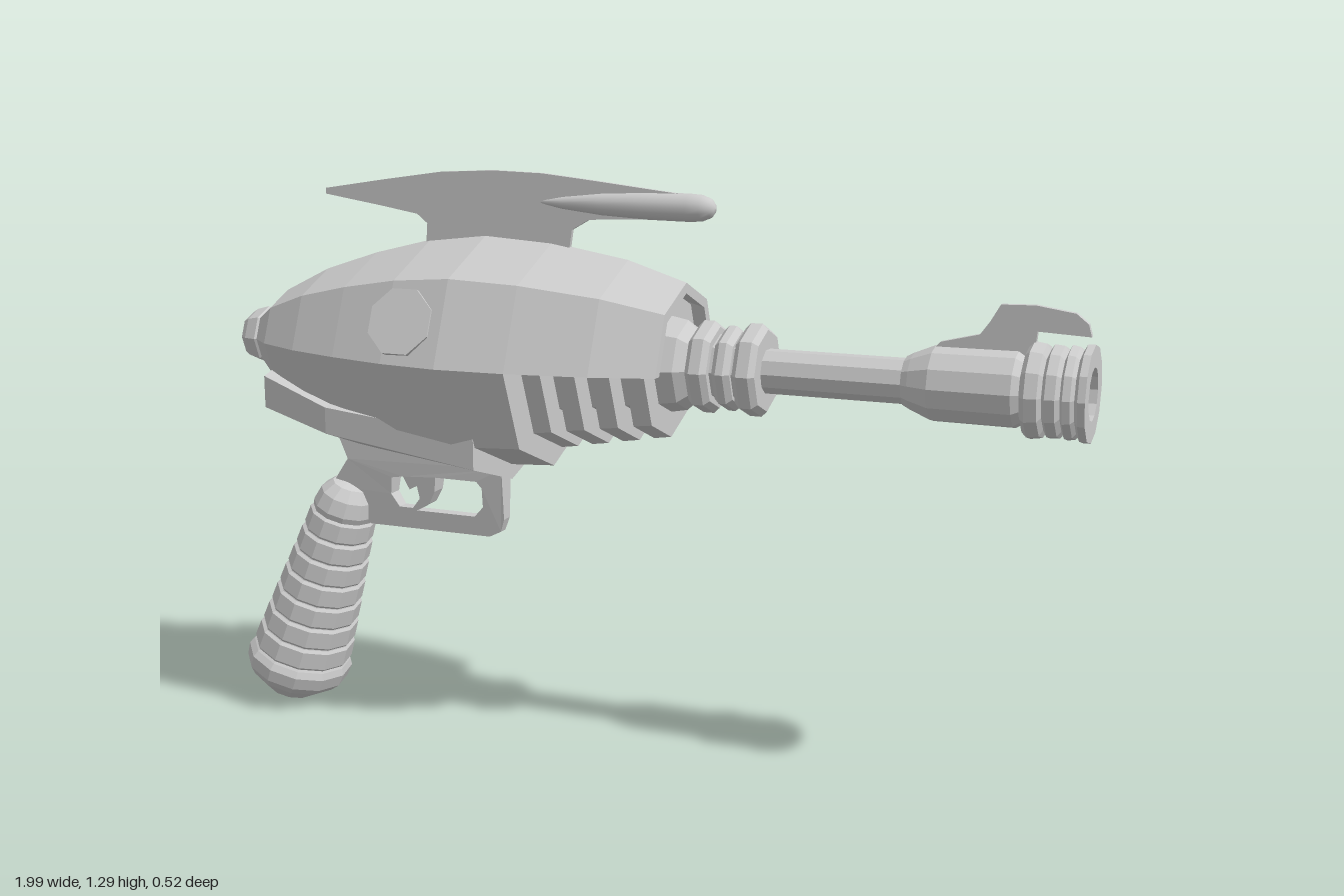
import * as THREE from 'three';

const AXIS_Y = 0.885; // height of the barrel axis
const flat = new THREE.MeshStandardMaterial({ color: 0xcccccc, flatShading: true });
const flatDouble = new THREE.MeshStandardMaterial({ color: 0xcccccc, flatShading: true, side: THREE.DoubleSide });
const smooth = new THREE.MeshStandardMaterial({ color: 0xcccccc });

function part(name, geometry, material = flat) {
  const mesh = new THREE.Mesh(geometry, material);
  mesh.name = name;
  return mesh;
}

// Turn a profile of [x, radius] pairs around a line along x
function turnX(profile, sides, y = AXIS_Y, start = 0, sweep = Math.PI * 2) {
  const pts = profile.map(([x, r]) => new THREE.Vector2(r, x));
  return new THREE.LatheGeometry(pts, sides, start, sweep).rotateZ(-Math.PI / 2).translate(0, y, 0);
}

const shapeOf = (pts) => new THREE.Shape(pts.map(([x, y]) => new THREE.Vector2(x, y)));

// Flat plate in the xy plane, centred on z = 0
function plate(shape, depth) {
  return new THREE.ExtrudeGeometry(shape, { depth, bevelEnabled: false, curveSegments: 6 })
    .translate(0, 0, -depth / 2);
}

// Loft through closed cross-sections [[x, y, z], ...] with both ends capped
function loft(sections) {
  const n = sections[0].length, index = [];
  for (let s = 0; s < sections.length - 1; s++) {
    for (let i = 0; i < n; i++) {
      const a = s * n + i, b = s * n + (i + 1) % n;
      index.push(a, b, a + n, b, b + n, a + n);
    }
  }
  const last = (sections.length - 1) * n;
  for (let i = 1; i < n - 1; i++) {
    index.push(0, i + 1, i, last, last + i, last + i + 1);
  }
  const g = new THREE.BufferGeometry();
  g.setAttribute('position', new THREE.Float32BufferAttribute(sections.flat(2), 3));
  g.setIndex(index);
  g.computeVertexNormals();
  return g;
}

export function createModel() {
  const model = new THREE.Group();
  model.name = 'rayGun';

  // Octagonal body, closed where the lower cutaway begins
  model.add(part('body', turnX([
    [-0.91, 0], [-0.91, 0.065], [-0.86, 0.11], [-0.75, 0.165], [-0.62, 0.208], [-0.48, 0.243],
    [-0.34, 0.26], [-0.18, 0.25], [-0.18, 0],
  ], 8)));
  model.add(part('tailCap', turnX([
    [-0.96, 0], [-0.96, 0.05], [-0.945, 0.06], [-0.915, 0.068], [-0.905, 0.06], [-0.905, 0],
  ], 8)));

  // Open upper hood over the cooling fins, with its lower ledges
  const hood = [[-0.18, 0.25], [0, 0.22], [0.135, 0.178], [0.135, 0.155], [0, 0.197], [-0.18, 0.227]];
  model.add(part('hood', turnX(hood, 4, AXIS_Y, Math.PI, Math.PI), flatDouble));
  for (const side of [1, -1]) {
    const ledge = new THREE.ShapeGeometry(shapeOf(hood)).rotateX(side * Math.PI / 2).translate(0, AXIS_Y, 0);
    model.add(part('hoodLedge', ledge, flatDouble));
  }

  // Tapered core carrying four cooling fins
  const core = [[-0.19, 0.147]];
  for (let i = 0; i < 4; i++) {
    const x = -0.16 + i * 0.074, inner = 0.143 - i * 0.011, outer = 0.206 - i * 0.013;
    core.push([x, inner], [x, outer], [x + 0.04, outer - 0.006], [x + 0.04, inner - 0.005]);
  }
  core.push([0.14, 0.098], [0.165, 0.075], [0.17, 0]);
  model.add(part('coolingFins', turnX(core, 8)));

  // Neck of three rings
  const neck = [[0.15, 0]];
  for (const [a, b, r] of [[0.165, 0.213, 0.1], [0.222, 0.262, 0.092], [0.27, 0.32, 0.1]]) {
    neck.push([a, 0.072], [a, r - 0.012], [a + 0.012, r], [b - 0.012, r], [b, r - 0.012], [b, 0.072]);
  }
  neck.push([0.32, 0]);
  model.add(part('neckRings', turnX(neck, 8)));

  // Barrel and grooved, hollow muzzle
  model.add(part('barrel', turnX([[0.3, 0.048], [0.64, 0.048]], 10)));
  model.add(part('muzzle', turnX([
    [0.62, 0], [0.62, 0.052], [0.635, 0.06], [0.68, 0.079], [0.85, 0.08], [0.865, 0.07],
    [0.87, 0.09], [0.88, 0.1], [0.905, 0.096], [0.912, 0.082], [0.92, 0.096], [0.94, 0.094],
    [0.948, 0.082], [0.955, 0.097], [0.97, 0.094], [0.977, 0.085], [0.985, 0.1], [1, 0.1],
    [1, 0.055], [0.87, 0.055], [0.87, 0],
  ], 12)));
  model.add(part('frontSight', plate(shapeOf([
    [0.67, 0.95], [0.69, 0.972], [0.77, 0.992], [0.79, 1.02], [0.81, 1.055], [0.88, 1.057],
    [0.96, 1.045], [0.985, 1.025], [0.992, 1.0], [0.885, 1.005], [0.88, 0.95],
  ]), 0.014)));

  // Top fin with a slender pod at its front
  model.add(part('topFin', plate(shapeOf([
    [-0.745, 1.222], [-0.6, 1.2], [-0.51, 1.185], [-0.485, 1.165], [-0.49, 1.1], [-0.14, 1.1],
    [-0.13, 1.165], [-0.09, 1.188], [0.17, 1.2], [0.19, 1.225], [0.17, 1.245], [-0.08, 1.272],
    [-0.2, 1.284], [-0.32, 1.287], [-0.45, 1.28], [-0.6, 1.258], [-0.745, 1.235],
  ]), 0.01)));
  model.add(part('finPod', turnX([
    [-0.235, 0], [-0.15, 0.014], [-0.06, 0.024], [0.04, 0.029], [0.14, 0.03],
    [0.17, 0.028], [0.19, 0.02], [0.198, 0.01], [0.2, 0],
  ], 16, 1.222), smooth));

  // Side discs set into the upper facets
  for (const side of [1, -1]) {
    const disc = new THREE.CylinderGeometry(0.078, 0.078, 0.05, 8);
    disc.rotateY(Math.PI / 8).translate(0, 0.216, 0).rotateX(side * Math.PI * 3 / 8);
    model.add(part('sideDisc', disc.translate(-0.44, AXIS_Y, 0)));
  }

  // Keel under the body: x, half width, top, side bottom, centre bottom
  const keel = [
    [-0.86, 0.115, 0.81, 0.737, 0.705], [-0.67, 0.165, 0.76, 0.7, 0.64], [-0.285, 0.19, 0.728, 0.655, 0.594],
  ].map(([x, w, top, low, bottom]) => [
    [x, top, w], [x, low, w], [x, bottom, 0], [x, low, -w], [x, top, -w], [x, top + 0.03, 0],
  ]);
  model.add(part('keel', loft(keel), flatDouble));

  // Trigger guard plate; the gap between its holes forms the trigger
  const guard = shapeOf([
    [-0.73, 0.68], [-0.7, 0.61], [-0.75, 0.54], [-0.7, 0.47], [-0.65, 0.455], [-0.34, 0.455],
    [-0.31, 0.47], [-0.3, 0.5], [-0.3, 0.62], [-0.4, 0.66],
  ]);
  for (const hole of [
    [[-0.585, 0.575], [-0.59, 0.535], [-0.57, 0.505], [-0.535, 0.505], [-0.515, 0.53], [-0.52, 0.56],
      [-0.54, 0.55], [-0.555, 0.58]],
    [[-0.47, 0.585], [-0.365, 0.585], [-0.352, 0.57], [-0.352, 0.525], [-0.375, 0.5], [-0.525, 0.5],
      [-0.49, 0.52], [-0.475, 0.55]],
  ]) guard.holes.push(new THREE.Path(hole.map(([x, y]) => new THREE.Vector2(x, y))));
  const guardGeo = plate(guard, 0.05);
  const pos = guardGeo.attributes.position;
  for (let i = 0; i < pos.count; i++) { // thins towards the bottom
    const t = THREE.MathUtils.clamp((pos.getY(i) - 0.455) / 0.14, 0, 1);
    pos.setZ(i, pos.getZ(i) * (0.4 + 0.6 * t));
  }
  guardGeo.computeVertexNormals();
  model.add(part('triggerGuard', guardGeo));

  // Ribbed grip, wider across z and raked backwards
  const grip = [[0, -0.068], [0.06, -0.06], [0.105, -0.02], [0.12, 0], [0.123, 0.03], [0.115, 0.045]];
  for (let i = 0; i < 7; i++) {
    const s = 0.05 + i * 0.054, r = 0.115 - i * 0.0058;
    grip.push([r - 0.004, s], [r, s + 0.006], [r - 0.003, s + 0.046], [r - 0.009, s + 0.052]);
  }
  grip.push([0.074, 0.44], [0.066, 0.475], [0.045, 0.5], [0, 0.51]);
  const gripGeo = new THREE.LatheGeometry(grip.map(([r, s]) => new THREE.Vector2(r, s)), 12);
  gripGeo.scale(1, 1, 1.12).rotateZ(-Math.PI / 9).translate(-0.875, 0.075, 0);
  model.add(part('grip', gripGeo));

  return model;
}
